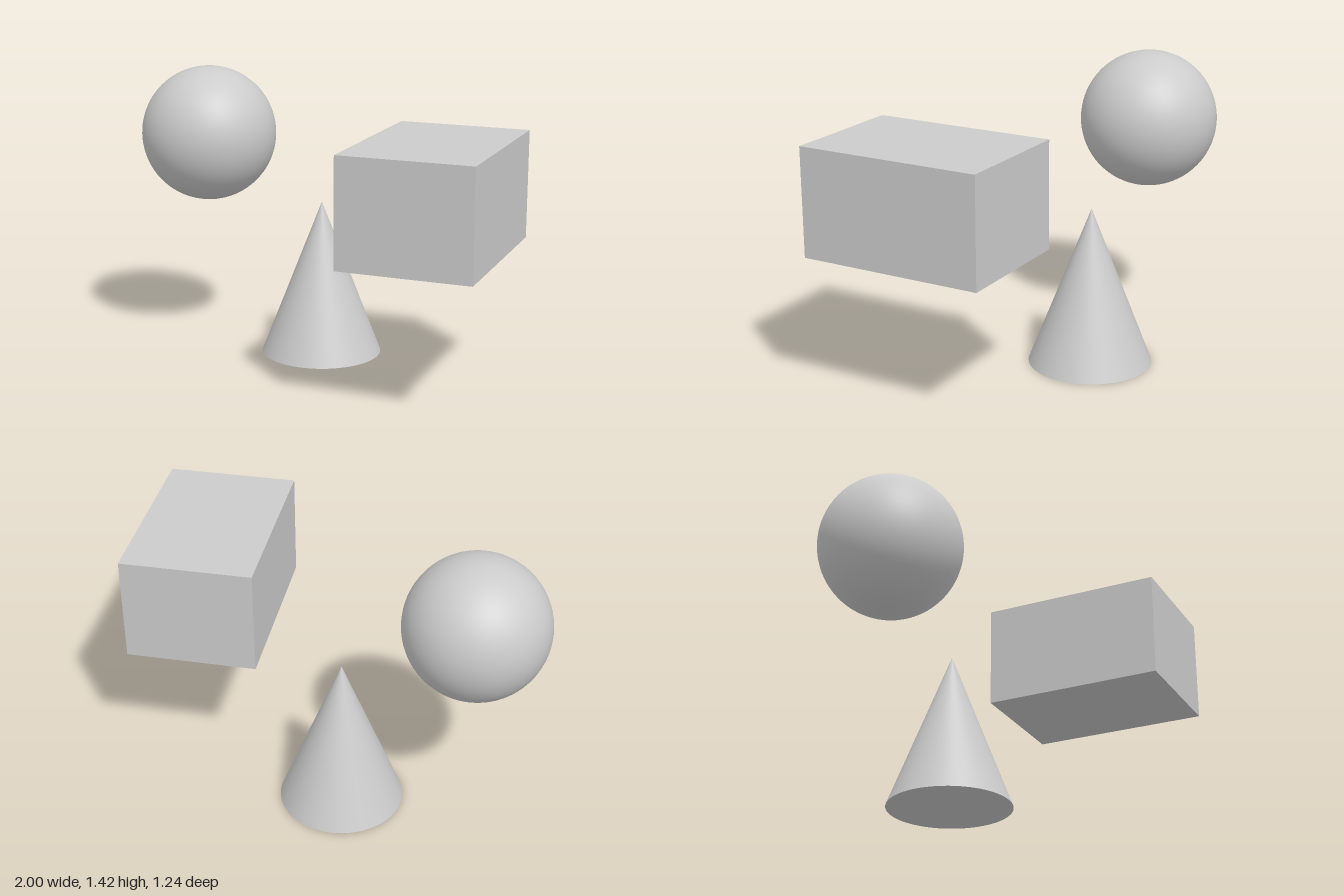
import * as THREE from 'three';

export function createModel() {
  const group = new THREE.Group();
  const material = new THREE.MeshStandardMaterial({ color: 0xcccccc });

  const add = (name, geometry, x, y, z) => {
    const mesh = new THREE.Mesh(geometry, material);
    mesh.name = name;
    mesh.position.set(x, y, z);
    group.add(mesh);
  };

  // Floating ball on the model's right
  add('sphere', new THREE.SphereGeometry(0.34, 64, 40), -0.66, 1.082, -0.28);

  // Cone standing on the ground
  const coneHeight = 0.775;
  add('cone', new THREE.ConeGeometry(0.3, coneHeight, 64), -0.043, coneHeight / 2, -0.28);

  // Floating block on the model's left
  add('block', new THREE.BoxGeometry(0.63, 0.516, 0.896), 0.685, 0.953, 0.172);

  return group;
}
